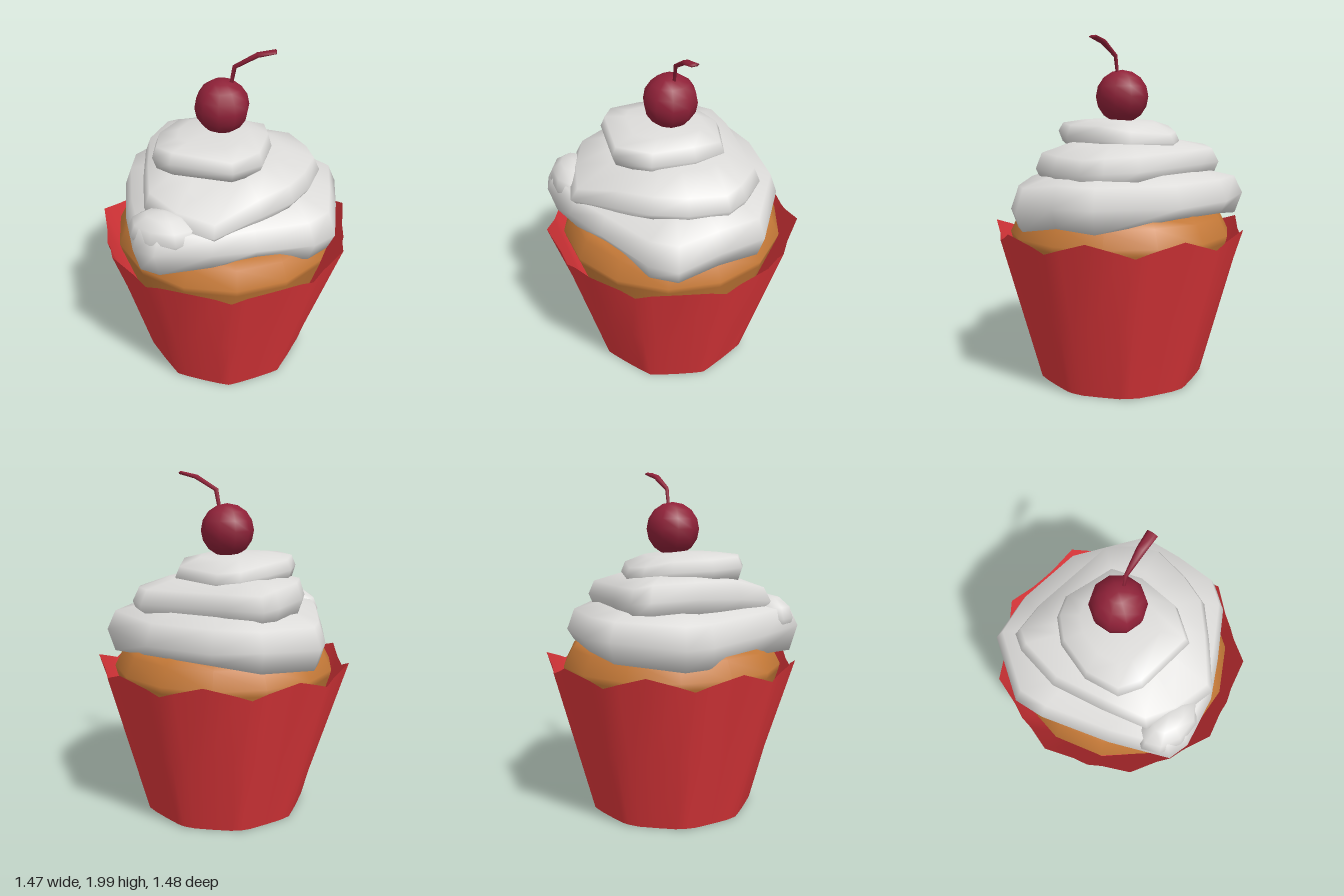
import * as THREE from 'three';

const paint = (name, color, side = THREE.FrontSide) => {
  const m = new THREE.MeshStandardMaterial({ color, side });
  m.name = name;
  return m;
};

// Skin over rings of [x, y, z] points (ordered +x to +z, rising); optional fan caps to a centre point.
function loft(rings, { bottom, top } = {}) {
  const n = rings[0].length;
  const pos = rings.flat(2);
  const index = [];
  for (let i = 0; i < rings.length - 1; i++) {
    for (let j = 0; j < n; j++) {
      const a = i * n + j, b = i * n + (j + 1) % n;
      index.push(a, a + n, b, b, a + n, b + n);
    }
  }
  const cap = (centre, start, up) => {
    const c = pos.length / 3;
    pos.push(...centre);
    for (let j = 0; j < n; j++) {
      const a = start + j, b = start + (j + 1) % n;
      index.push(...(up ? [a, c, b] : [a, b, c]));
    }
  };
  if (bottom) cap(bottom, 0, false);
  if (top) cap(top, (rings.length - 1) * n, true);
  const g = new THREE.BufferGeometry();
  g.setAttribute('position', new THREE.Float32BufferAttribute(pos, 3));
  g.setIndex(index);
  g.computeVertexNormals();
  return g;
}

// Frosting outlines: x, z, lower lip y, widest y, upper shoulder y
const LOWER = [
  [.66, 0, .97, 1.08, 1.2], [.66, .25, .93, 1.03, 1.17], [.55, .38, .93, 1.04, 1.17],
  [.25, .53, 1.02, 1.08, 1.19], [.02, .63, 1, 1.1, 1.19], [-.28, .67, .95, 1.1, 1.2],
  [-.4, .63, .95, 1.1, 1.21], [-.52, .3, .97, 1.08, 1.2], [-.62, -.1, .94, 1.06, 1.18],
  [-.63, -.28, .94, 1.06, 1.18], [-.4, -.6, .98, 1.1, 1.2], [-.13, -.63, 1.01, 1.08, 1.2],
  [.27, -.56, 1.02, 1.08, 1.2], [.65, -.26, .96, 1.09, 1.2],
];
const MIDDLE = [
  [.55, -.1, 1.18, 1.25, 1.33], [.5, .12, 1.19, 1.25, 1.34], [.42, .3, 1.21, 1.26, 1.35],
  [.26, .44, 1.17, 1.24, 1.33], [.03, .62, 1.16, 1.2, 1.26], [-.2, .55, 1.16, 1.21, 1.28],
  [-.37, .45, 1.18, 1.25, 1.33], [-.43, .2, 1.19, 1.28, 1.38], [-.48, -.1, 1.2, 1.3, 1.39],
  [-.42, -.37, 1.2, 1.29, 1.38], [-.36, -.46, 1.2, 1.28, 1.36], [-.15, -.46, 1.21, 1.28, 1.36],
  [.38, -.37, 1.2, 1.27, 1.35], [.5, -.22, 1.17, 1.26, 1.34],
];
const UPPER = [
  [.27, -.03, 1.37, 1.42, 1.5], [.24, .22, 1.37, 1.43, 1.5], [.1, .39, 1.4, 1.46, 1.51],
  [-.25, .33, 1.39, 1.46, 1.52], [-.36, .25, 1.38, 1.45, 1.51], [-.38, .05, 1.38, 1.44, 1.5],
  [-.3, -.17, 1.38, 1.43, 1.49], [-.18, -.29, 1.37, 1.41, 1.46], [-.05, -.33, 1.36, 1.4, 1.45],
  [.23, -.22, 1.37, 1.41, 1.47],
];

function swirl(outline, cx, cz, topY) {
  const ring = (s, y) => outline.map((p) => [cx + (p[0] - cx) * s, y(p), cz + (p[1] - cz) * s]);
  return loft([
    ring(.72, (p) => p[2] + .03),
    ring(.94, (p) => p[2]),
    ring(1, (p) => p[3]),
    ring(.93, (p) => p[4]),
    ring(.6, (p) => (p[4] + 2 * topY) / 3),
  ], { bottom: [cx, outline[0][2] + .04, cz], top: [cx, topY, cz] });
}

// Nine pleats: [angle from tip, bottom radius, top radius, top y]
const PLEAT = [[0, .455, .75, .93], [13, .465, .71, .878], [20, .485, .715, .85], [27, .465, .71, .878]];

function pleatedRing(t) {
  const ring = [];
  for (let k = 0; k < 9; k++) {
    for (const [offset, r0, r1, y1] of PLEAT) {
      const a = THREE.MathUtils.degToRad(-180 + k * 40 + offset);
      const r = r0 + (r1 - r0) * t;
      const y0 = offset === 20 ? .012 : .003;
      ring.push([.01 + r * Math.cos(a), y0 + (y1 - y0) * t, r * Math.sin(a)]);
    }
  }
  return ring;
}

export function createModel() {
  const red = paint('wrapper red', 0xdd363a, THREE.DoubleSide);
  const brown = paint('cake brown', 0xc67a38);
  const cream = paint('frosting white', 0xdddcda);
  const cherryRed = paint('cherry red', 0x8f2138);

  const model = new THREE.Group();
  model.name = 'cupcake';
  const add = (name, geometry, material, x = 0, y = 0, z = 0) => {
    const mesh = new THREE.Mesh(geometry, material);
    mesh.name = name;
    mesh.position.set(x, y, z);
    model.add(mesh);
    return mesh;
  };

  // Paper wrapper, open at the top
  add('wrapper', loft([0, .5, 1].map(pleatedRing)), red);
  add('wrapperBase', loft([pleatedRing(0)], { bottom: [.01, .01, 0] }), red);

  // Cake
  const cake = [[.53, .5], [.64, .84], [.65, .88], [.6, .98], [.555, 1.03], [0, 1.05]];
  add('cake', new THREE.LatheGeometry(cake.map((p) => new THREE.Vector2(...p)), 14), brown, .01)
    .rotation.y = Math.PI / 14;

  // Frosting swirl, with its tail tucked in at the front
  add('lowerFrosting', swirl(LOWER, 0, 0, 1.28), cream);
  add('middleFrosting', swirl(MIDDLE, 0, 0, 1.43), cream);
  add('upperFrosting', swirl(UPPER, -.05, .02, 1.54), cream);
  const tail = add('frostingTail', new THREE.SphereGeometry(1, 9, 6), cream, -.25, 1.15, .51);
  tail.scale.set(.21, .13, .14);
  tail.rotation.y = -.15;

  // Cherry
  add('cherry', new THREE.SphereGeometry(.154, 10, 8), cherryRed, -.01, 1.665, 0)
    .rotation.y = Math.PI / 2;

  // Bent stem, flattened towards its tip: x, y, tilt, half thickness, half width
  const stem = [
    [.035, 1.77, -.15, .011, .008], [.058, 1.895, -.5, .014, .011],
    [.18, 1.967, -1.2, .013, .026], [.276, 1.99, -1.1, .01, .031],
  ];
  const rings = stem.map(([x, y, tilt, thick, wide]) => Array.from({ length: 6 }, (_, j) => {
    const a = j * Math.PI / 3 + Math.PI / 6;
    const u = thick * Math.cos(a);
    return [x + u * Math.cos(tilt), y + u * Math.sin(tilt), wide * Math.sin(a)];
  }));
  add('stem', loft(rings, { bottom: [.035, 1.77, 0], top: [.278, 1.991, 0] }), cherryRed);

  return model;
}
